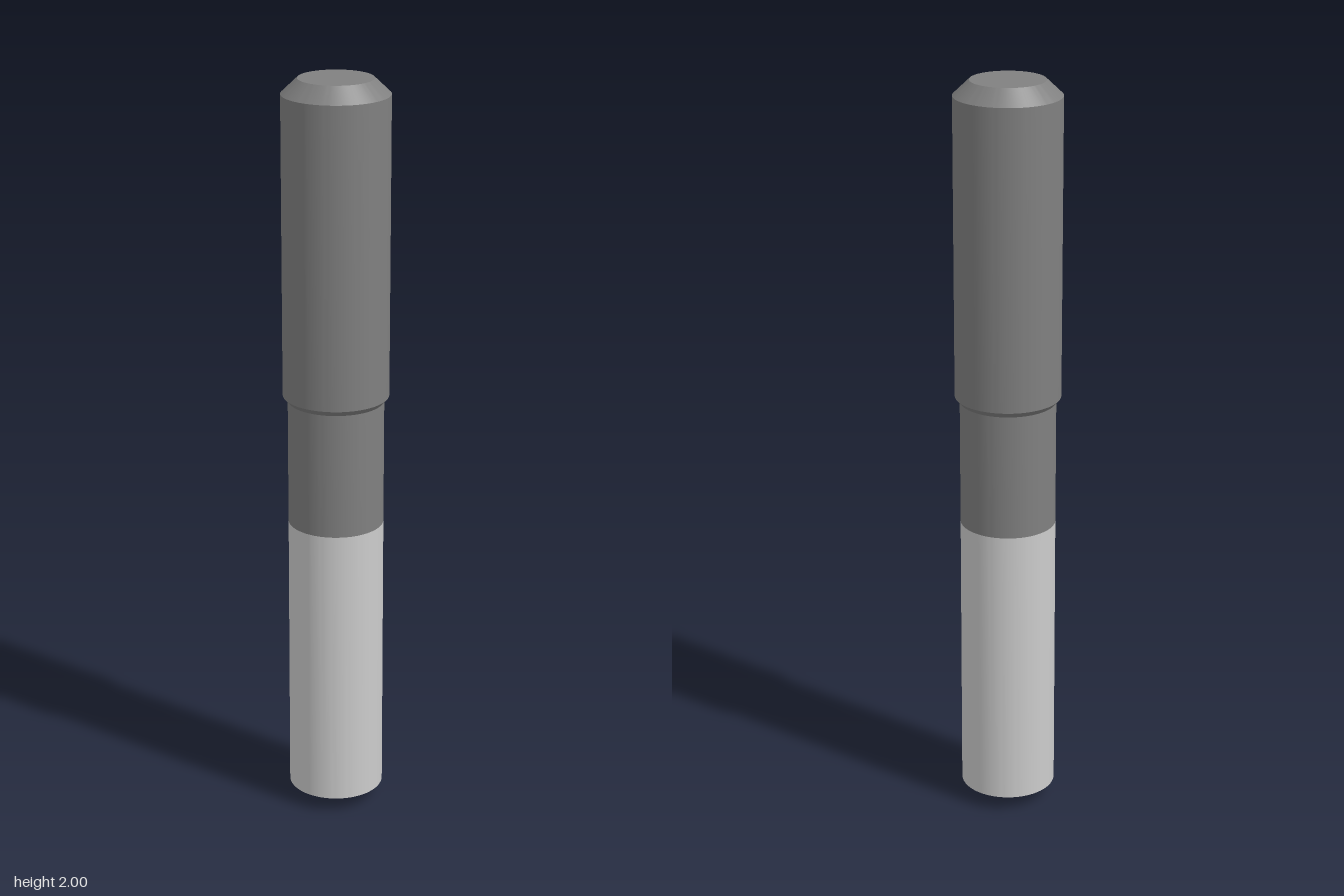
import * as THREE from 'three';
import { toCreasedNormals } from 'three/addons/utils/BufferGeometryUtils.js';

// Turned part from [radius, height] pairs, listed from bottom to top
function turned(name, profile, material) {
  const points = profile.map(([r, y]) => new THREE.Vector2(r, y));
  const geometry = toCreasedNormals(new THREE.LatheGeometry(points, 96), 0.3);
  const mesh = new THREE.Mesh(geometry, material);
  mesh.name = name;
  return mesh;
}

export function createModel() {
  const model = new THREE.Group();
  model.name = 'drillBit';

  const bright = new THREE.MeshStandardMaterial({ color: 0xcccccc });
  const dark = new THREE.MeshStandardMaterial({ color: 0x808080 });

  const tipTop = 0.043, cutTop = 0.815, neckTop = 1.153;
  const cutRadius = 0.127, neckRadius = 0.126, shankRadius = 0.139;

  // Shallow conical point and the cutting length above it
  model.add(turned('drillPoint', [[0, 0], [cutRadius, tipTop]], bright));
  model.add(turned('cuttingBody', [[cutRadius, tipTop], [neckRadius, cutTop]], bright));

  // Neck between the cutting length and the shank
  model.add(turned('neck', [[neckRadius, cutTop], [neckRadius, neckTop]], dark));

  // Shank with a small lower shoulder and a chamfered flat end
  model.add(turned('shank', [
    [neckRadius, neckTop],
    [shankRadius, 1.168],
    [shankRadius, 1.96],
    [0.097, 2],
    [0, 2],
  ], dark));

  return model;
}
